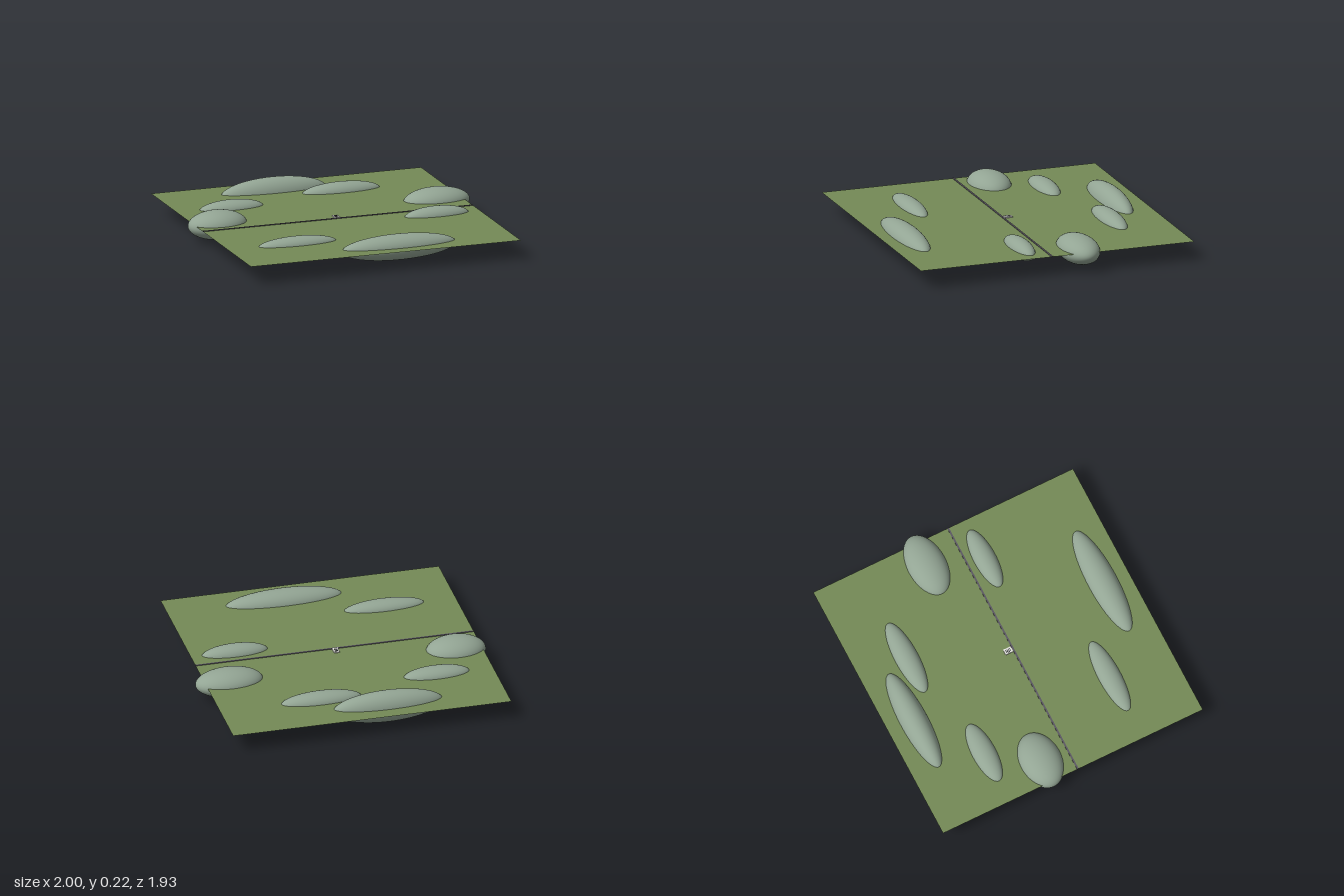
import * as THREE from 'three';

const mat = (name, color, side = THREE.FrontSide) => {
  const m = new THREE.MeshStandardMaterial({ color, side });
  m.name = name;
  return m;
};

export function createModel() {
  const model = new THREE.Group();
  model.name = 'landscape';
  const grass = mat('grass green', 0x748a56, THREE.DoubleSide);
  const stone = mat('grey green', 0x93a594);
  const track = mat('track grey', 0x5c5862);
  const white = mat('off white', 0xe4e4de);
  const dark = mat('dark grey', 0x45474a);

  const add = (name, geometry, material, x, y, z, parent = model) => {
    const mesh = new THREE.Mesh(geometry, material);
    mesh.name = name;
    mesh.position.set(x, y, z);
    parent.add(mesh);
    return mesh;
  };

  // Flat ground sheet
  const level = 0.13;
  const sheet = new THREE.PlaneGeometry(1.905, 1.93).rotateX(-Math.PI / 2);
  add('ground', sheet, grass, -0.017, level, -0.004);

  // Ellipsoid hills: centre x, y, z then radii x, y, z
  const hills = [
    [-0.172, 0.109, -0.782, 0.375, 0.109, 0.095],
    [0.245, 0.12, -0.625, 0.275, 0.066, 0.08],
    [-0.585, 0.12, -0.47, 0.226, 0.061, 0.081],
    [-0.797, 0.113, -0.158, 0.203, 0.097, 0.142],
    [0.767, 0.115, -0.21, 0.23, 0.092, 0.132],
    [0.635, 0.12, 0.154, 0.226, 0.065, 0.076],
    [-0.48, 0.121, 0.517, 0.275, 0.057, 0.076],
    [0.14, 0.115, 0.777, 0.4, 0.086, 0.1],
  ];
  const ball = new THREE.SphereGeometry(1, 40, 28).rotateZ(Math.PI / 2);
  hills.forEach(([x, y, z, rx, ry, rz], i) => {
    add(`hill${i + 1}`, ball, stone, x, y, z).scale.set(rx, ry, rz);
  });

  // Narrow track across the ground
  add('track', new THREE.BoxGeometry(1.905, 0.006, 0.012), track, -0.017, level + 0.001, 0.033);

  // Tiny platform with dark slats beside the track
  const platform = new THREE.Group();
  platform.name = 'platform';
  platform.position.set(-0.017, level + 0.002, -0.003);
  model.add(platform);
  add('platformBase', new THREE.BoxGeometry(0.04, 0.01, 0.056), white, 0, 0, 0, platform);
  const slat = new THREE.BoxGeometry(0.022, 0.002, 0.005);
  for (let i = 0; i < 4; i++) {
    add(`slat${i + 1}`, slat, dark, 0, 0.0055, -0.015 + i * 0.01, platform);
  }
  return model;
}
